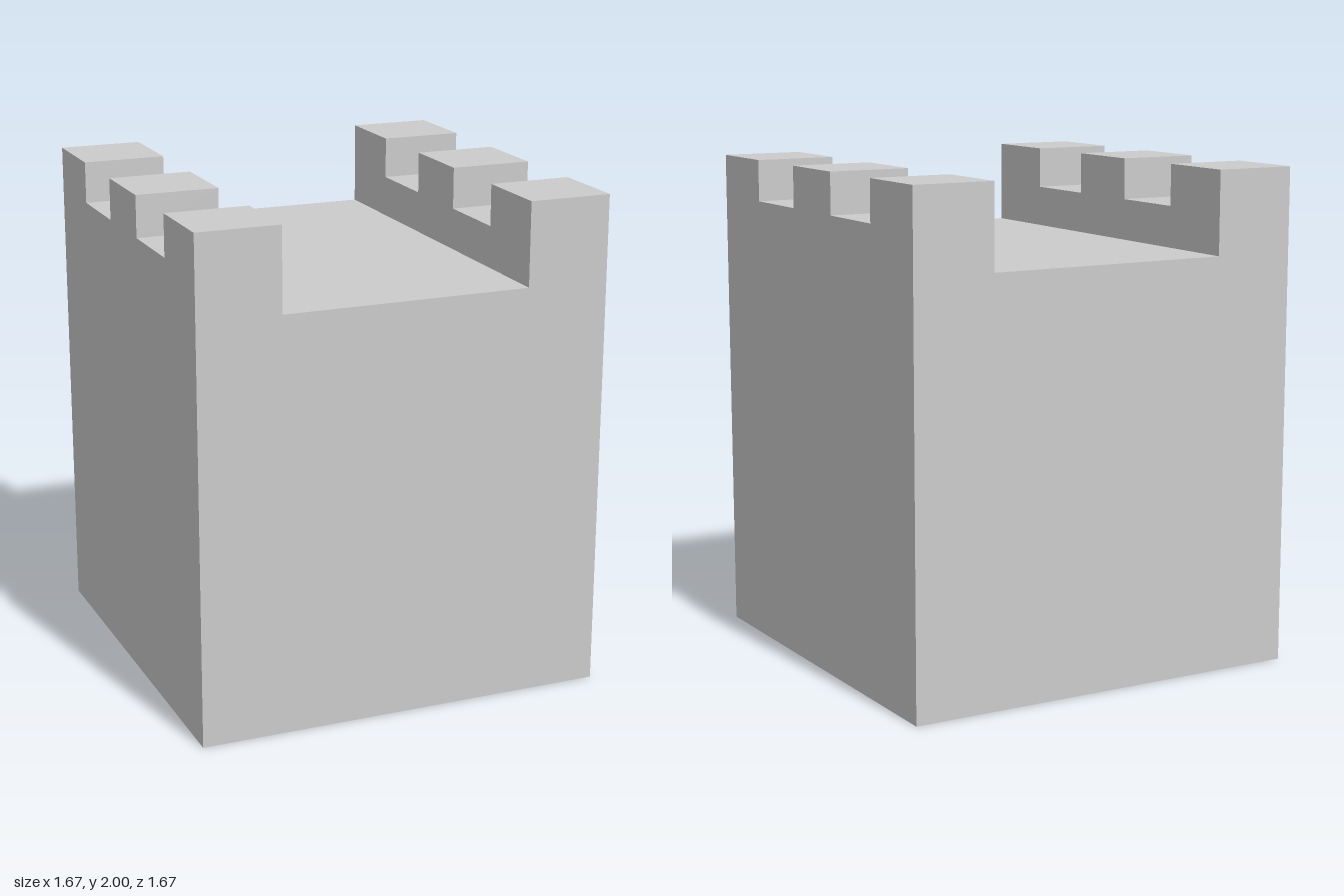
import * as THREE from 'three';

const U = 1 / 6; // module unit: every dimension is a multiple of this
const HALF = 5 * U, FLOOR = 10 * U, NOTCH = 11 * U, TOP = 12 * U;
const WALL = 2 * U; // parapet thickness and merlon spacing

export function createModel() {
  const group = new THREE.Group();
  const material = new THREE.MeshStandardMaterial({ color: 0xcccccc, flatShading: true });

  // Solid square tower block
  const body = new THREE.Mesh(new THREE.BoxGeometry(2 * HALF, FLOOR, 2 * HALF), material);
  body.name = 'towerBody';
  body.position.y = FLOOR / 2;
  group.add(body);

  // Crenellated parapet outline: five equal steps, alternating merlon and notch
  const outline = new THREE.Shape();
  outline.moveTo(-HALF, FLOOR);
  outline.lineTo(HALF, FLOOR);
  for (let i = 0; i < 5; i++) {
    const y = i % 2 ? NOTCH : TOP;
    outline.lineTo(HALF - i * WALL, y);
    outline.lineTo(HALF - (i + 1) * WALL, y);
  }
  outline.closePath();

  // Extrude along x, one parapet on each side
  const parapetGeometry = new THREE.ExtrudeGeometry(outline, { depth: WALL, bevelEnabled: false });
  parapetGeometry.translate(0, 0, -WALL / 2);
  parapetGeometry.rotateY(Math.PI / 2);
  for (const side of [-1, 1]) {
    const parapet = new THREE.Mesh(parapetGeometry, material);
    parapet.name = side > 0 ? 'leftParapet' : 'rightParapet';
    parapet.position.x = side * (HALF - WALL / 2);
    group.add(parapet);
  }

  return group;
}
